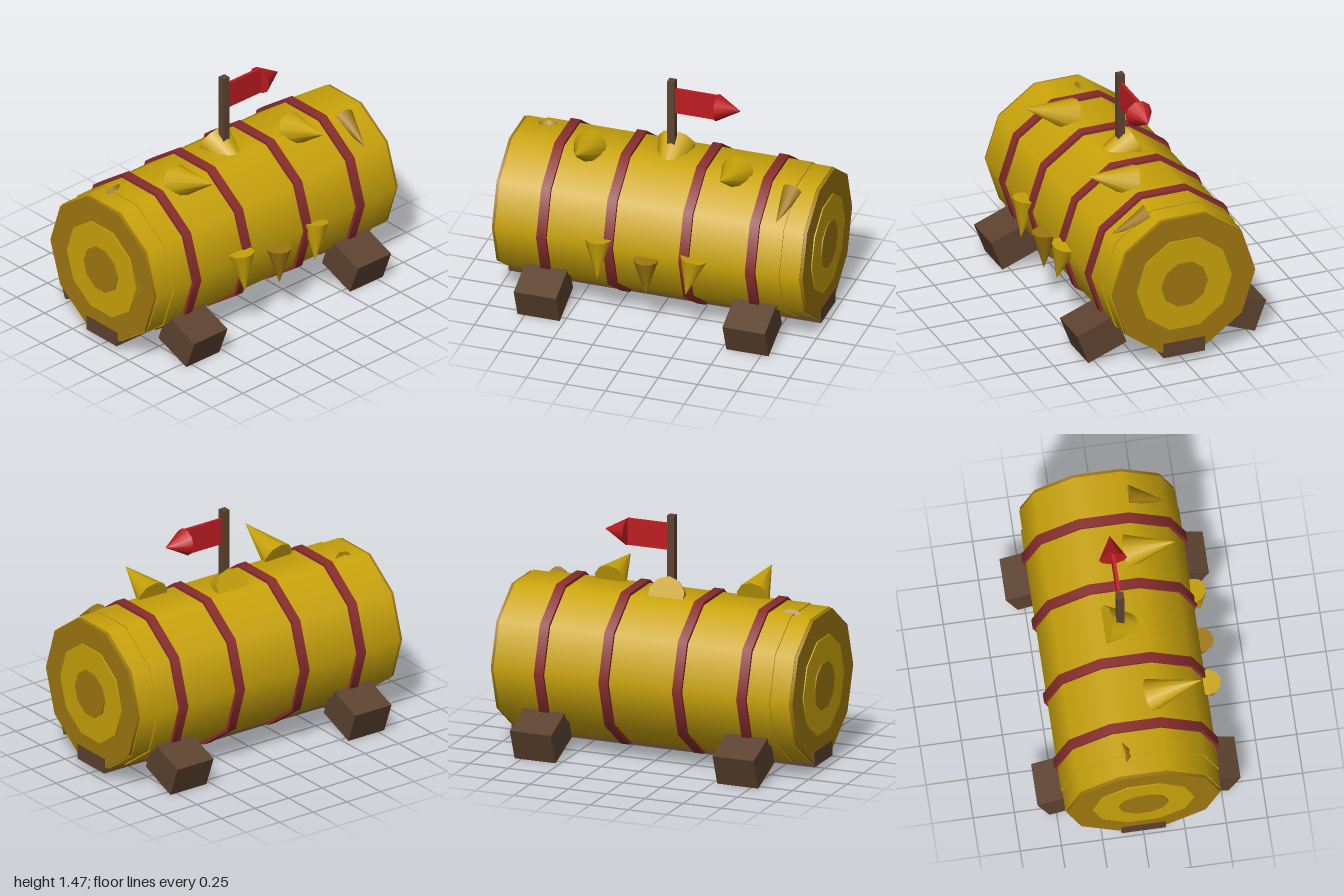
import * as THREE from 'three';

const paint = (name, color) => {
  const m = new THREE.MeshStandardMaterial({ color });
  m.name = name;
  return m;
};

export function createModel() {
  const yellow = paint('yellow', 0xcaa40a);
  const darkGold = paint('darkGold', 0xa07810);
  const brown = paint('brown', 0x5d4330);
  const bandRed = paint('bandRed', 0x8a2d2d);
  const flagRed = paint('flagRed', 0xbe1c20);
  const model = new THREE.Group();
  model.name = 'barrelBody';
  const AXIS_Y = 0.525;

  const add = (name, geometry, material, x, y, z) => {
    const mesh = new THREE.Mesh(geometry, material);
    mesh.name = name;
    mesh.position.set(x, y, z);
    model.add(mesh);
    return mesh;
  };
  // Ten-sided drum lying along x
  const drum = (name, radius, length, material, x = 0) =>
    add(name, new THREE.CylinderGeometry(radius, radius, length, 10).rotateZ(-Math.PI / 2), material, x, AXIS_Y, 0);
  // Cone from the centre of its base to its tip
  const spike = (name, base, tip, radius, material = yellow) => {
    const from = new THREE.Vector3(...base);
    const dir = new THREE.Vector3(...tip).sub(from);
    const length = dir.length();
    const geometry = new THREE.ConeGeometry(radius, length, 10).translate(0, length / 2, 0);
    const mesh = add(name, geometry, material, ...base);
    mesh.quaternion.setFromUnitVectors(new THREE.Vector3(0, 1, 0), dir.normalize());
  };

  // Barrel and its stepped ends, alternating in colour
  drum('barrel', 0.48, 1.68, yellow);
  drum('barrelShoulders', 0.472, 1.93, yellow);
  drum('endRims', 0.466, 1.97, darkGold);
  drum('endRings', 0.31, 1.985, yellow);
  drum('endHubs', 0.15, 2.0, darkGold);

  // Hoops around the barrel
  for (const x of [-0.663, -0.242, 0.238, 0.66]) drum('hoop', 0.5, 0.06, bandRed, x);

  // Keel and splayed feet
  add('keel', new THREE.BoxGeometry(1.98, 0.095, 0.27), brown, 0, 0.093, 0);
  for (const x of [-0.662, 0.662]) {
    for (const side of [-1, 1]) {
      const foot = add('foot', new THREE.BoxGeometry(0.268, 0.206, 0.267), brown, x, 0.147, side * 0.455);
      foot.rotation.x = side * 0.364;
    }
  }

  // Spikes along the top, the two end ones darker
  spike('centreSpike', [0, 0.993, -0.094], [0, 0.79, 0.36], 0.12);
  spike('rightTopSpike', [-0.483, 0.985, 0.11], [-0.47, 1.1, 0.427], 0.105);
  spike('leftTopSpike', [0.45, 0.98, 0.11], [0.44, 1.07, 0.4], 0.105);
  spike('leftEndSpike', [0.818, 0.942, 0.16], [0.79, 0.842, 0.39], 0.066, darkGold);
  spike('rightEndSpike', [-0.82, 0.932, -0.12], [-0.79, 0.8, 0.1], 0.085, darkGold);

  // Three teeth on the front, the middle one darker
  spike('rightTooth', [-0.303, 0.585, 0.488], [-0.3, 0.325, 0.52], 0.082);
  spike('middleTooth', [0, 0.5, 0.492], [0, 0.26, 0.497], 0.078, darkGold);
  spike('leftTooth', [0.3, 0.555, 0.486], [0.262, 0.32, 0.525], 0.082);

  // Flagpole with a thin pennant and a pointed tip
  add('flagpole', new THREE.BoxGeometry(0.046, 0.5, 0.046), brown, 0, 1.225, 0);
  add('pennant', new THREE.BoxGeometry(0.27, 0.165, 0.02), flagRed, 0.155, 1.338, 0);
  spike('pennantTip', [0.288, 1.338, 0], [0.436, 1.338, 0], 0.085, flagRed);

  return model;
}
